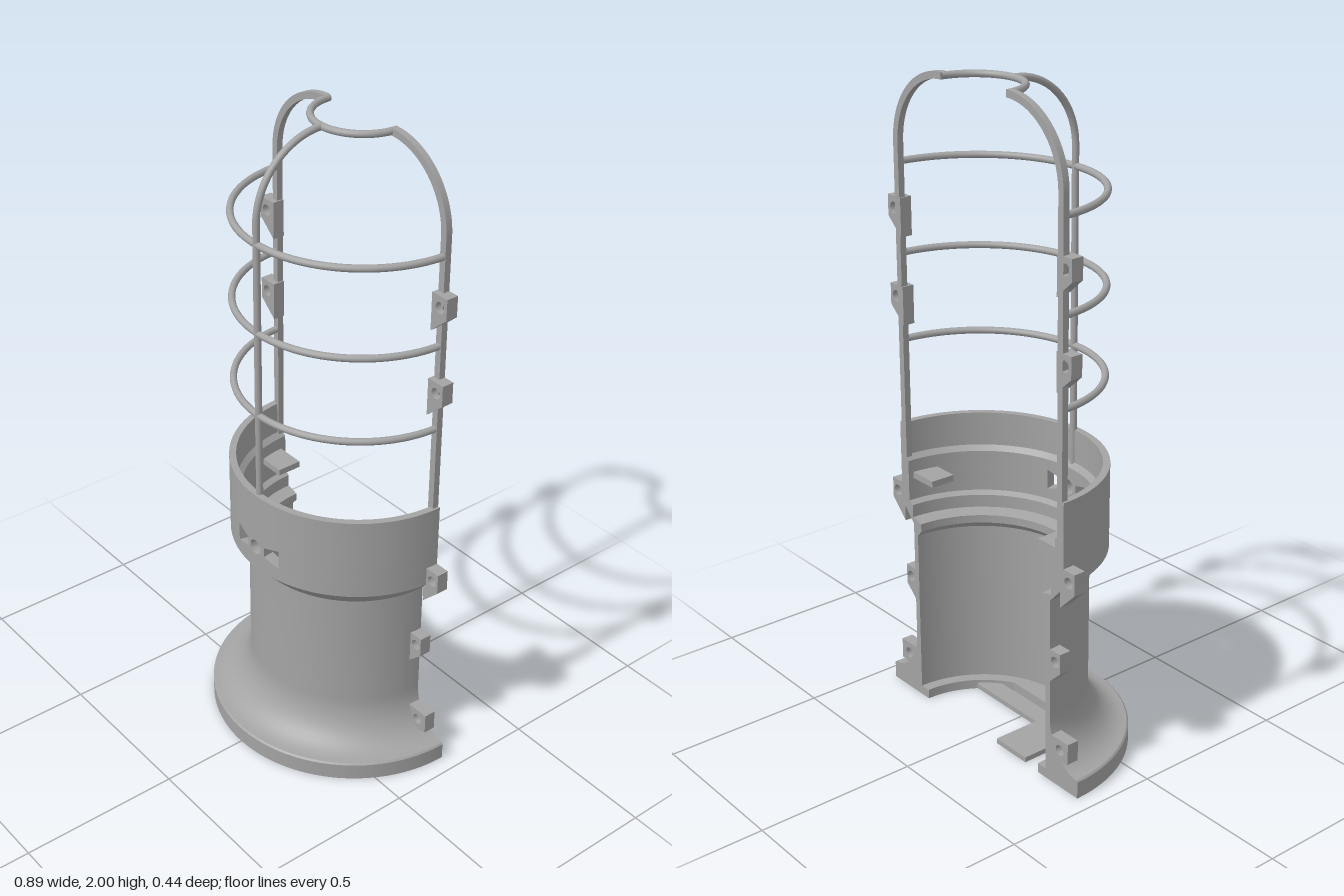
import * as THREE from 'three';
import { toCreasedNormals } from 'three/addons/utils/BufferGeometryUtils.js';

const R = 0.445;               // base radius; the half shell is cut on local z = 0
const CAGE = 0.36, BAR = 0.0105;
const grey = new THREE.MeshStandardMaterial({ color: 0xa3a3a3 });
grey.name = 'plain grey';

export function createModel() {
  const model = new THREE.Group();
  model.name = 'halfLampGuard';
  const add = (name, geo, x = 0, y = 0, z = 0) => {
    const mesh = new THREE.Mesh(geo, grey);
    mesh.name = name;
    mesh.position.set(x, y, z);
    model.add(mesh);
    return mesh;
  };
  const box = (name, x0, x1, y0, y1, z0, z1) =>
    add(name, new THREE.BoxGeometry(x1 - x0, y1 - y0, z1 - z0), (x0 + x1) / 2, (y0 + y1) / 2, (z0 + z1) / 2);

  // Half-turned solid from a closed profile, with flat cut faces at the back
  const halfTurn = (name, profile) => {
    const pts = [...profile, profile[0]].map(([r, y]) => new THREE.Vector2(r, y));
    add(name, toCreasedNormals(new THREE.LatheGeometry(pts, 72, -Math.PI / 2, Math.PI), 0.5));
    for (const s of [-1, 1]) {
      const face = new THREE.Shape(pts.slice(0, -1).map(p => new THREE.Vector2(s * p.x, p.y)));
      add(name + 'CutFace', new THREE.ShapeGeometry(face).rotateY(Math.PI));
    }
  };

  // Body: flange, cove, barrel and flare, with stepped seat rings inside
  const cove = [];
  for (let i = 0; i <= 12; i++) {
    const a = (i / 12) * Math.PI / 2;
    cove.push([0.44 - 0.118 * Math.sin(a), 0.21 - 0.152 * Math.cos(a)]);
  }
  halfTurn('body', [
    [0.303, 0], [R, 0], [R, 0.053], ...cove, [0.322, 0.59], [0.378, 0.65], [0.378, 0.66],
    [0.342, 0.66], [0.325, 0.65], [0.325, 0.61], [0.285, 0.6], [0.285, 0.575], [0.303, 0.555],
  ]);
  halfTurn('collarRim', [[0.342, 0.79], [0.378, 0.79], [0.378, 0.91], [0.357, 0.91], [0.357, 0.805]]);

  // Collar band with a round hole between two flared slots
  const stops = [];                       // [angle, half height of the opening]
  const edge = 0.3;
  for (let i = 0; i < 20; i++) stops.push([-Math.PI / 2 + (i / 20) * (Math.PI / 2 - edge), 0]);
  stops.push([-edge, 0], [-0.28, 0], [-0.2522, 0], [-0.252, 0.031], [-0.2, 0.026], [-0.15, 0.021],
    [-0.1, 0.016], [-0.0998, 0], [-0.08, 0]);
  for (let i = 0; i <= 8; i++) {
    const a = (i / 16) * Math.PI;
    stops.push([-0.063 * Math.cos(a), 0.024 * Math.sin(a)]);
  }
  const mirrored = stops.slice(0, -1).reverse().map(([a, h]) => [-a, h]);
  stops.push(...mirrored);
  for (const s of [-1, 1]) {
    const n = stops.length - 1;
    const geo = new THREE.BoxGeometry(n, 2, 2, n, 1, 1);
    const p = geo.attributes.position;
    for (let i = 0; i < p.count; i++) {
      const [a, h] = stops[Math.round(p.getX(i) + n / 2)];
      const r = p.getZ(i) > 0 ? 0.378 : 0.342;
      const atHole = p.getY(i) * s < 0;
      const y = atHole ? 0.725 + s * h : (s > 0 ? 0.79 : 0.66);
      p.setXYZ(i, r * Math.sin(a), y, r * Math.cos(a));
    }
    add(s > 0 ? 'collarBandUpper' : 'collarBandLower', toCreasedNormals(geo, 0.5));
  }

  // Floor ring with a flat-sided opening
  const floor = new THREE.Shape();
  const flat = Math.acos(0.13 / 0.268);
  floor.moveTo(0.31, 0);
  floor.absarc(0, 0, 0.31, 0, Math.PI, false);
  floor.lineTo(-0.268, 0);
  floor.absarc(0, 0, 0.268, Math.PI, Math.PI - flat, true);
  floor.absarc(0, 0, 0.268, flat, 0, true);
  add('floor', new THREE.ExtrudeGeometry(floor, { depth: 0.03, bevelEnabled: false, curveSegments: 32 })
    .rotateX(Math.PI / 2), 0, 0.03, 0);

  // Flat straps crossing the floor opening
  box('crossStrap', -0.17, 0.215, 0.004, 0.02, 0.1525, 0.2125);
  box('strapRoot', -0.25, -0.17, 0.004, 0.02, 0.1325, 0.175);
  box('backStrap', -0.21, -0.075, 0.004, 0.02, 0, 0.2);

  // Cage hoops and top ring
  const hoop = (name, r, y) =>
    add(name, new THREE.TorusGeometry(r, BAR, 12, 64, Math.PI).rotateX(Math.PI / 2), 0, y, 0);
  for (const y of [1.175, 1.44, 1.71]) hoop('cageHoop', CAGE, y);
  hoop('topRing', 0.14, 1.989);

  // Front cage bar, bending over to the top ring
  const path = new THREE.CurvePath();
  path.add(new THREE.LineCurve3(new THREE.Vector3(0, 0.8, CAGE), new THREE.Vector3(0, 1.769, CAGE)));
  const bend = [];
  for (let i = 0; i <= 16; i++) {
    const a = (i / 16) * Math.PI / 2;
    bend.push(new THREE.Vector3(0, 1.769 + 0.22 * Math.sin(a), 0.14 + 0.22 * Math.cos(a)));
  }
  path.add(new THREE.CatmullRomCurve3(bend));
  add('frontBar', new THREE.TubeGeometry(path, 64, BAR, 12));

  // Square side bars along the cut
  const bar = new THREE.Shape();
  bar.moveTo(CAGE - BAR, 0.8);
  bar.lineTo(CAGE + BAR, 0.8);
  bar.absarc(0.14, 1.769, 0.22 + BAR, 0, Math.PI / 2, false);
  bar.absarc(0.14, 1.769, 0.22 - BAR, Math.PI / 2, 0, true);
  const barGeo = toCreasedNormals(
    new THREE.ExtrudeGeometry(bar, { depth: 0.02, bevelEnabled: false, curveSegments: 24 }), 0.5);
  add('leftBar', barGeo);
  add('rightBar', barGeo.clone().rotateY(Math.PI), 0, 0, 0.02);

  // Screw lugs down both cut edges: [inner x, outer x, top, side bottom, tip, hole x, hole y]
  const lugs = [
    [0.345, 0.405, 1.607, 1.543, 1.49, 0.378, 1.572],
    [0.345, 0.405, 1.34, 1.275, 1.222, 0.378, 1.306],
    [0.365, 0.425, 0.71, 0.645, 0.585, 0.4, 0.675],
    [0.312, 0.366, 0.435, 0.372, 0.322, 0.344, 0.402],
    [0.325, 0.402, 0.157, 0.092, 0.075, 0.366, 0.122],
  ];
  for (const [xi, xo, top, low, tip, hx, hy] of lugs) {
    const shape = new THREE.Shape([[xi, tip], [xo, low], [xo, top], [xi, top]]
      .map(([x, y]) => new THREE.Vector2(x, y)));
    shape.holes.push(new THREE.Path().absarc(hx, hy, 0.017, 0, Math.PI * 2, true));
    const geo = new THREE.ExtrudeGeometry(shape, { depth: 0.038, bevelEnabled: false, curveSegments: 12 });
    add('leftLug', geo);
    add('rightLug', geo.clone().rotateY(Math.PI), 0, 0, 0.038);
  }

  // Inner ledge tabs in the collar
  box('leftTab', 0.247, 0.35, 0.73, 0.75, 0.0175, 0.0975);
  box('rightTab', -0.35, -0.247, 0.73, 0.75, 0.0175, 0.0975);

  for (const part of model.children) part.position.z -= R / 2;
  return model;
}
